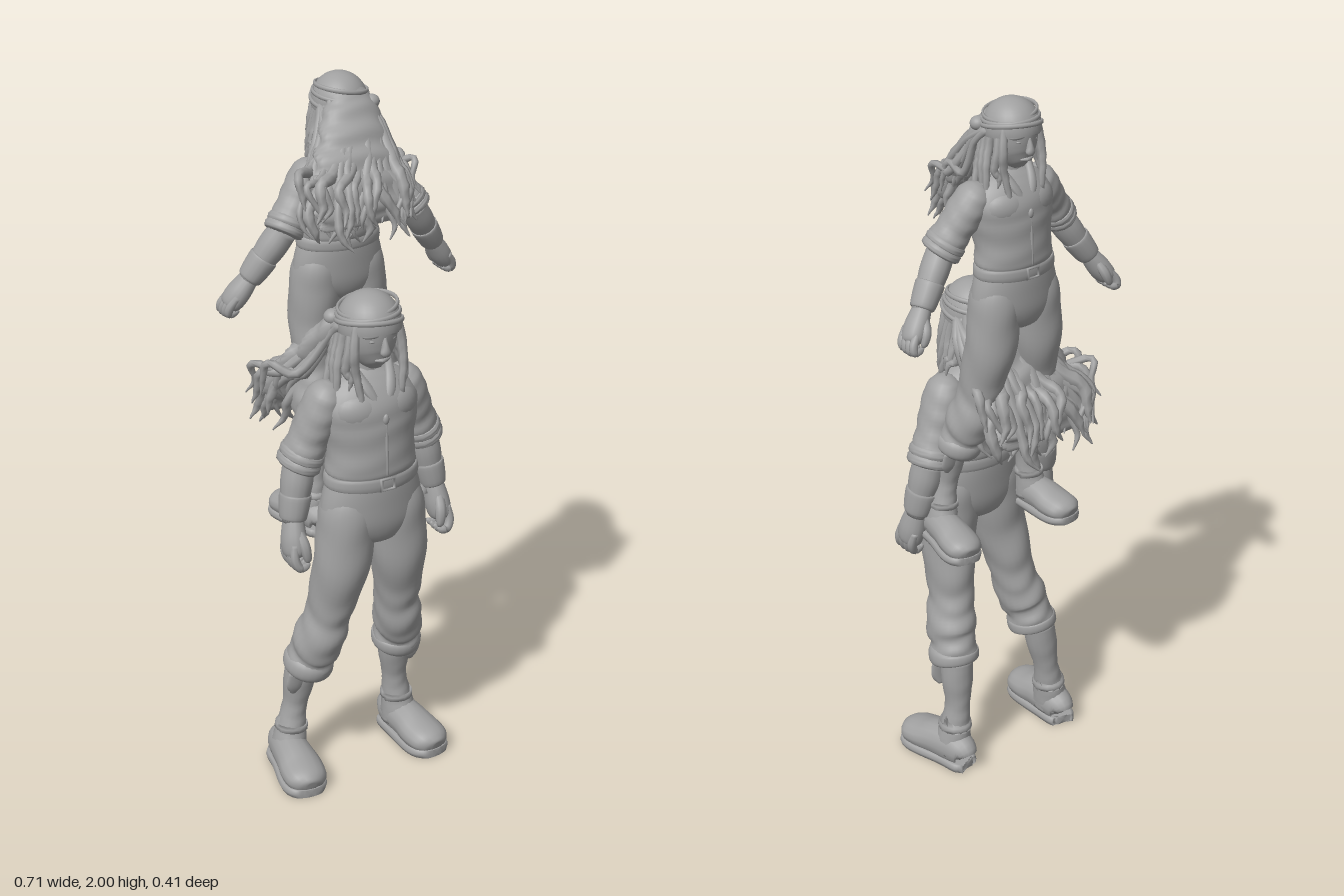
import * as THREE from 'three';

const clay = new THREE.MeshStandardMaterial({ color: 0xa0a0a0 });
clay.name = 'grey clay';

// Smooth body through rows of [x, y, z, half width, half depth]
function limb(parent, name, rows, { n = 16, fold = 0, floor = -9, ceil = 9, step = 5 } = {}) {
  const V = (a, b, c) => new THREE.Vector3(a, b, c);
  const path = new THREE.CatmullRomCurve3(rows.map(r => V(r[0], r[1], r[2])), false, 'catmullrom', 0.5);
  const size = new THREE.CatmullRomCurve3(rows.map(r => V(r[3], r[4] ?? r[3], 0)), false, 'catmullrom', 0.5);
  const m = (rows.length - 1) * step, pos = [], idx = [];
  const put = p => pos.push(p.x, Math.min(ceil, Math.max(floor, p.y)), p.z);
  for (let i = 0; i <= m; i++) {
    const s = i / m, c = path.getPoint(s), r = size.getPoint(s), t = path.getTangent(s);
    const u = V(1, 0, 0).addScaledVector(t, -t.x).normalize(), v = t.clone().cross(u);
    for (let j = 0; j < n; j++) {
      const a = j / n * Math.PI * 2;
      const w = 1 + fold * Math.sin(s * 42 + 2 * Math.sin(a * 2) + a) * Math.min(1, s * 2);
      put(c.clone().addScaledVector(u, Math.cos(a) * w * Math.max(r.x, 0.0006))
        .addScaledVector(v, Math.sin(a) * w * Math.max(r.y, 0.0006)));
    }
  }
  for (let i = 0; i < m; i++) for (let j = 0; j < n; j++) {
    const a = i * n + j, b = i * n + (j + 1) % n;
    idx.push(a, b, b + n, a, b + n, a + n);
  }
  put(path.getPoint(0)); put(path.getPoint(1));
  const e = (m + 1) * n;
  for (let j = 0; j < n; j++) {
    const k = (j + 1) % n;
    idx.push(e, k, j, e + 1, m * n + j, m * n + k);
  }
  const g = new THREE.BufferGeometry();
  g.setAttribute('position', new THREE.Float32BufferAttribute(pos, 3));
  g.setIndex(idx);
  g.computeVertexNormals();
  return add(parent, name, g);
}

function add(parent, name, geo, p = [0, 0, 0], s = [1, 1, 1], r = [0, 0, 0]) {
  const mesh = new THREE.Mesh(geo, clay);
  mesh.name = name;
  mesh.position.set(...p); mesh.scale.set(...s); mesh.rotation.set(...r);
  parent.add(mesh);
  return mesh;
}
const ball = new THREE.SphereGeometry(1, 24, 16);

function leg(parent, side) {
  const g = new THREE.Group(); g.name = side > 0 ? 'leftLeg' : 'rightLeg'; parent.add(g);
  // The right leg stands a little wider
  const M = rows => rows.map(([x, y, ...k]) => [side > 0 ? x : -(x + Math.max(0, 0.75 - y) * 0.08), y, ...k]);
  limb(g, 'trouserLeg', M([[.06, .92, .107, .045, .05], [.072, .85, .108, .076, .079], [.08, .77, .11, .081, .082], [.087, .67, .11, .078, .08],
    [.096, .57, .09, .066, .076], [.1, .51, .08, .061, .07], [.108, .46, .072, .065, .076], [.118, .41, .058, .068, .077],
    [.122, .38, .047, .06, .07], [.125, .35, .038, .066, .074], [.127, .325, .03, .056, .062]]), { n: 24, fold: .03 });
  limb(g, 'trouserCuff', M([[.125, .365, .04, .05], [.126, .355, .039, .068, .074], [.127, .325, .033, .068, .072], [.127, .315, .03, .045]]), { n: 24 });
  limb(g, 'bootShaft', M([[.133, .34, .015, .046, .048], [.137, .27, .008, .045, .045], [.141, .2, .002, .035, .038],
    [.147, .14, .002, .04, .043], [.153, .08, .006, .048, .055], [.155, .04, .01, .05, .06]]), { fold: .02 });
  limb(g, 'bootFlap', M([[.165, .32, .05, .03, .008], [.17, .28, .046, .028, .008], [.172, .255, .04, .008, .006]]), { n: 8 });
  limb(g, 'bootStrap', M([[.149, .139, .003, .036, .04], [.149, .137, .003, .045, .048], [.149, .119, .004, .047, .05], [.149, .117, .004, .036, .04]]), { step: 2 });
  limb(g, 'bootFoot', M([[.152, .045, -.052, .024, .03], [.153, .052, -.043, .041, .046], [.156, .056, 0, .05, .056], [.163, .053, .06, .056, .052],
    [.168, .044, .11, .063, .045], [.174, .038, .155, .059, .039], [.177, .033, .179, .04, .03], [.178, .03, .188, .015, .018]]), { floor: .012 });
  limb(g, 'bootSole', M([[.152, .012, -.056, .022, .04], [.153, .012, -.046, .043, .04], [.157, .012, .02, .052, .04],
    [.168, .012, .11, .066, .04], [.174, .012, .155, .062, .04], [.177, .012, .182, .041, .04], [.178, .012, .19, .014, .03]]), { floor: 0, ceil: .024 });
}

function arm(parent, side, [S, C, W, H]) {
  const g = new THREE.Group(); g.name = side > 0 ? 'leftArm' : 'rightArm'; parent.add(g);
  const P = (A, B, t, ...r) => [...A.map((a, i) => (a + (B[i] - a) * t) * (i ? 1 : side)), ...r];
  limb(g, 'sleeve', [P(S, C, -.22, .012), P(S, C, -.15, .034, .038), P(S, C, 0, .05, .057), P(S, C, .3, .054, .062), P(S, C, .6, .053, .058),
    P(S, C, .85, .056, .062), P(S, C, 1.03, .045, .05)], { n: 20, fold: .025 });
  for (const t of [.88, 1])
    limb(g, 'rolledCuff', [P(S, C, t - .1, .045), P(S, C, t - .06, .058, .065), P(S, C, t + .05, .058, .065), P(S, C, t + .09, .038)], { fold: .03 });
  limb(g, 'forearm', [P(C, W, 0, .042, .046), P(C, W, .35, .044, .048), P(C, W, .7, .038, .04), P(C, W, 1.1, .028, .032)]);
  limb(g, 'wristBand', [P(C, W, .58, .038), P(C, W, .62, .044, .047), P(C, W, 1, .037, .041), P(C, W, 1.04, .027)]);
  limb(g, 'palm', [P(W, H, -.1, .024, .027), P(W, H, .15, .03, .036), P(W, H, .45, .034, .042), P(W, H, .7, .028, .037), P(W, H, .8, .01)]);
  // Half-closed fingers
  for (let i = 0; i < 4; i++) {
    const o = (i - 1.5) * .019, k = ([x, y, z, ...r], dx) => [x - side * dx, y, z + o, ...r];
    limb(g, 'finger', [k(P(W, H, .45, .012), -.012), k(P(W, H, .72, .0135), -.012), k(P(W, H, .93 - Math.abs(o), .0125), .002),
      k(P(W, H, .93 - Math.abs(o), .011), .02), k(P(W, H, .84, .005), .03)], { n: 8 });
  }
  const q = ([x, y, z, r], dx, dz) => [x - side * dx, y, z + dz, r];
  limb(g, 'thumb', [q(P(W, H, .15, .012), 0, .02), q(P(W, H, .45, .016), .012, .038), q(P(W, H, .72, .012), .022, .036), q(P(W, H, .82, .005), .026, .03)], { n: 8 });
}

function head(parent) {
  const g = new THREE.Group(); g.name = 'head'; parent.add(g);
  limb(g, 'neck', [[0, 1.31, .085, .04], [0, 1.25, .075, .042], [0, 1.19, .07, .055]]);
  limb(g, 'face', [[0, 1.42, .1, .03, .03], [0, 1.38, .1, .065, .075], [0, 1.33, .103, .068, .077], [0, 1.29, .112, .058, .065],
    [0, 1.26, .123, .036, .045], [0, 1.243, .13, .012, .018]], { n: 24 });
  limb(g, 'nose', [[0, 1.345, .17, .007, .01], [0, 1.32, .178, .01, .013], [0, 1.303, .181, .015, .012], [0, 1.295, .176, .006]], { n: 10 });
  limb(g, 'lips', [[-.022, 1.279, .163, .003], [0, 1.28, .173, .006], [.022, 1.279, .163, .003]], { n: 8 });
  for (const s of [-1, 1]) {
    add(g, 'brow', ball, [s * .03, 1.353, .163], [.028, .009, .012], [0, s * .35, s * -.1]);
    add(g, 'eye', ball, [s * .028, 1.336, .162], [.012, .006, .01]);
  }
  // Head scarf with soft folds and a knot
  add(g, 'scarf', new THREE.SphereGeometry(1, 28, 12, 0, Math.PI * 2, 0, Math.PI * .56), [0, 1.36, .095], [.086, .09, .092], [-.15, 0, 0]);
  for (let i = 0; i < 3; i++)
    add(g, 'scarfFold', new THREE.TorusGeometry(1, .06, 8, 32), [0, 1.37 + i * .018, .094 - i * .004],
      [.087 - i * .004, .091 - i * .005, .12], [Math.PI / 2 - .2 + i * .1, i * .12 - .08, 0]);
  add(g, 'scarfKnot', ball, [-.07, 1.365, .025], [.025, .022, .025]);
}

function hair(parent, lean) {
  const g = new THREE.Group(); g.name = 'hair'; parent.add(g);
  let seed = 7;
  const rnd = () => (seed = (seed * 16807) % 2147483647) / 2147483647;
  limb(g, 'hairMass', [[0, 1.41, .06, .05, .03], [0, 1.35, .03, .088, .05], [lean * .02, 1.27, -.03, .115, .05],
    [lean * .04, 1.19, -.085, .145, .045], [lean * .05, 1.1, -.13, .155, .035], [lean * .05, 1.05, -.145, .13, .012]], { n: 32, fold: .08, step: 8 });
  // Long matted locks blown backwards, in an inner, a middle and an outer layer
  for (let i = 0; i < 63; i++) {
    const f = (i % 21) / 10 - 1, layer = Math.floor(i / 21) / 2, q = () => (rnd() - .5) * .05;
    const ex = f * (.155 + .015 * layer) + lean * .052 + q(), ey = .98 + rnd() * .12 + .05 * f * f;
    const ez = -.075 - layer * .095 - rnd() * .025 + .035 * f * f * layer;
    const r = .009 + rnd() * .01;
    limb(g, 'lock', [[f * .075, 1.39 - .03 * f * f, .03 + .045 * f * f, .012], [f * .095 + q() / 2, 1.31, -layer * .035 + .03 * f * f, r],
      [f * .13 + lean * .03 + q(), 1.21 + q() / 2, -.03 - layer * .08 + .02 * f * f, r * 1.15], [ex + q(), ey + .09, ez + .02, r],
      [ex + q() / 2, ey + .03, ez, r * .75], [ex + q(), ey - .01, ez - .008 + q() / 2, .002]], { n: 7, fold: .14, step: 4 });
  }
  // Locks framing the face
  for (const s of [-1, 1]) for (let i = 0; i < 5; i++) {
    const z = .14 - i * .024, q = () => (rnd() - .5) * .025, y = 1.14 + rnd() * .08;
    limb(g, 'faceLock', [[s * .062, 1.385, z - .005, .01], [s * .076, 1.31, z + q(), .014], [s * (.075 + i * .006) + q(), 1.25, z + .005, .012],
      [s * (.068 + i * .012) + q(), y + .03, z + .016, .009], [s * (.07 + i * .012) + q(), y, z + .016, .002]], { n: 7, fold: .14, step: 4 });
  }
}

function figure(name, armPoints, lean) {
  const f = new THREE.Group(); f.name = name;
  // Shirt, pelvis and belt
  limb(f, 'shirt', [[0, 1.25, .068, .042, .04], [0, 1.225, .068, .068, .052], [0, 1.195, .073, .115, .07], [0, 1.14, .084, .145, .096],
    [0, 1.08, .09, .14, .1], [0, 1.01, .1, .127, .094], [0, .955, .105, .132, .092], [0, .935, .106, .12, .08]], { n: 32, fold: .01 });
  limb(f, 'trouserSeat', [[0, .96, .105, .11, .08], [0, .92, .107, .132, .089], [0, .86, .108, .149, .09], [0, .8, .109, .15, .087],
    [0, .755, .11, .1, .072], [0, .735, .11, .04, .045]], { n: 32 });
  limb(f, 'belt', [[0, .95, .106, .12, .08], [0, .945, .106, .136, .093], [0, .915, .107, .138, .093], [0, .91, .107, .125, .084]], { n: 32, step: 3 });
  add(f, 'buckle', new THREE.TorusGeometry(.022, .005, 8, 4).rotateZ(Math.PI / 4), [0, .93, .199], [1.3, 1, 1]);
  for (const s of [-1, 1]) {
    add(f, 'chestMuscle', ball, [s * .058, 1.13, .132], [.072, .056, .045], [0, s * .3, 0]);
    limb(f, 'collar', [[s * .03, 1.25, .03, .01, .012], [s * .058, 1.25, .075, .011, .02], [s * .047, 1.225, .122, .014, .012],
      [s * .03, 1.185, .156, .015, .008], [s * .004, 1.135, .177, .003]], { n: 8 });
    leg(f, s);
    arm(f, s, armPoints);
  }
  limb(f, 'shirtPlacket', [[0, 1.145, .172, .004], [0, 1.1, .184, .005], [0, 1.03, .191, .005], [0, .955, .195, .004]], { n: 8 });
  add(f, 'pendant', ball, [0, 1.115, .186], [.009, .015, .007]);
  head(f);
  hair(f, lean);
  return f;
}

export function createModel() {
  const model = new THREE.Group(); model.name = 'standingPair';
  model.add(figure('lowerFigure', [[.12, 1.165, .072], [.19, .98, .05], [.22, .83, .07], [.236, .69, .105]], -1));
  // The upper figure is smaller, faces the back and spreads its arms
  const upper = figure('upperFigure', [[.12, 1.165, .072], [.222, 1.01, .04], [.32, .865, .075], [.405, .745, .108]], 1);
  upper.scale.setScalar(.86);
  upper.rotation.y = Math.PI;
  upper.position.set(0, .75, .02);
  model.add(upper);
  return model;
}
